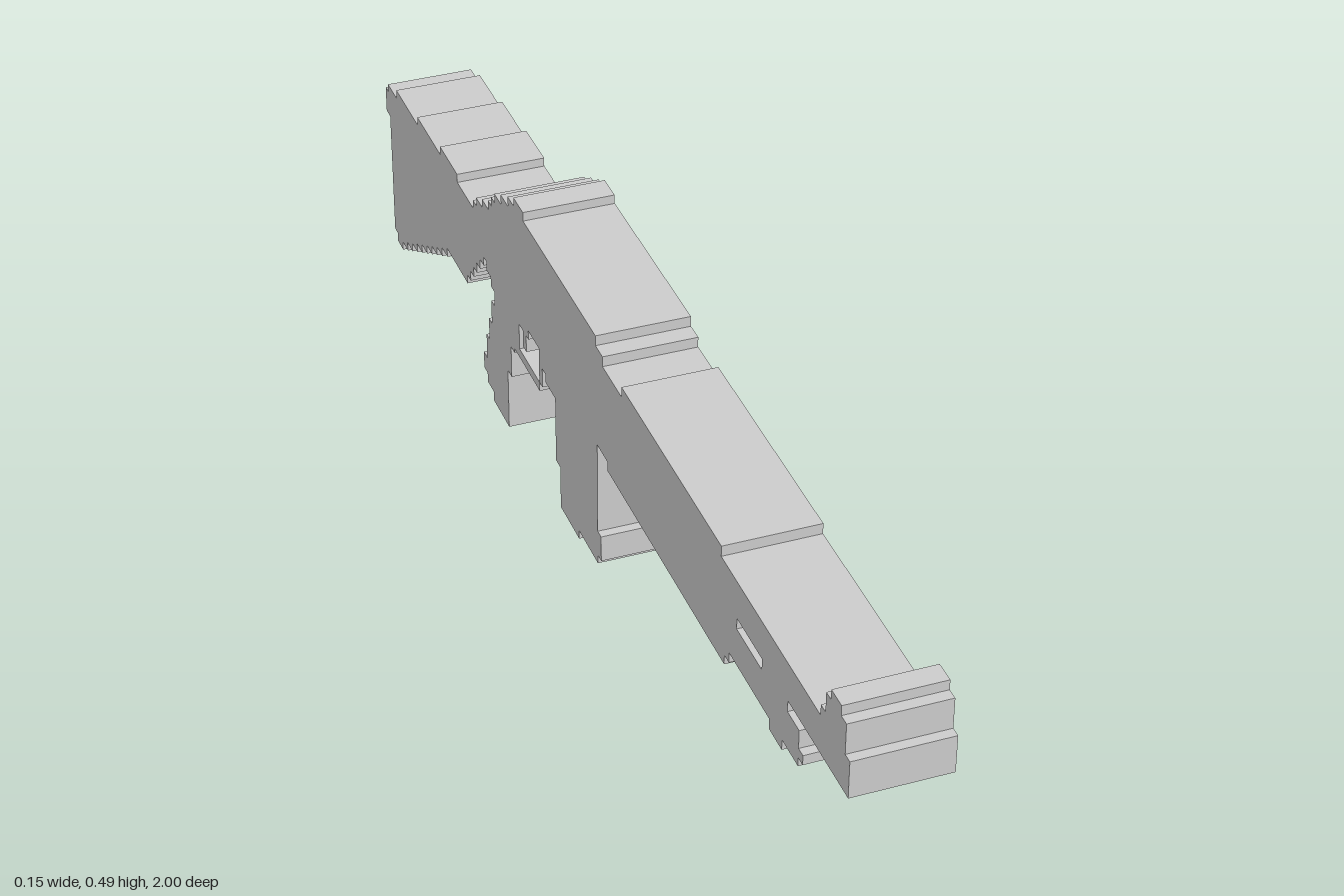
import * as THREE from 'three';

const WIDTH = 0.146;

// Closed stepped outline: each entry [z, y] runs along z first, then steps to the new y.
function steppedShape(steps) {
  const points = [];
  let y = steps[steps.length - 1][1];
  for (const [z, nextY] of steps) {
    points.push(new THREE.Vector2(z, y));
    if (nextY !== y) points.push(new THREE.Vector2(z, nextY));
    y = nextY;
  }
  return new THREE.Shape(points);
}

// Even staircase from one corner to another, in n steps.
function stairs(z0, y0, z1, y1, n) {
  return Array.from({ length: n }, (_, i) => [
    z0 + (z1 - z0) * i / (n - 1),
    y0 + (y1 - y0) * i / (n - 1),
  ]);
}

export function createModel() {
  const group = new THREE.Group();
  const material = new THREE.MeshStandardMaterial({ color: 0xcccccc, flatShading: true });

  function addPart(name, steps) {
    const geometry = new THREE.ExtrudeGeometry(steppedShape(steps), { depth: WIDTH, bevelEnabled: false });
    geometry.translate(0, 0, -WIDTH / 2);
    geometry.rotateY(-Math.PI / 2);
    const mesh = new THREE.Mesh(geometry, material);
    mesh.name = name;
    group.add(mesh);
  }

  // Barrel with the raised front sight at its tip
  addPart('barrelAndFrontSight', [
    [1, 0.423], [0.985, 0.472], [0.968, 0.488], [0.935, 0.472], [0.92, 0.44],
    [0.905, 0.423], [0.56, 0.363],
  ]);

  // Handguard under the barrel, with a slot along its top
  addPart('handguard', [
    [0.855, 0.315], [0.84, 0.345], [0.8, 0.363], [0.71, 0.345], [0.62, 0.363],
    [0.56, 0.252], [0.578, 0.268], [0.595, 0.285], [0.74, 0.268],
    [0.785, 0.285], [0.84, 0.299],
  ]);

  // Receiver, stepping down towards the stock
  addPart('receiver', [
    [0.56, 0.44], [0.17, 0.423], [0.09, 0.44], [0.06, 0.457], [-0.265, 0.472],
    [-0.31, 0.457], [-0.338, 0.44], [-0.373, 0.423], [-0.405, 0.407],
    [-0.422, 0.391], [-0.438, 0.375], [-0.47, 0.268], [-0.455, 0.252],
    [-0.25, 0.268], [0.11, 0.252],
  ]);

  // Box magazine with its well
  addPart('magazine', [
    [0.065, 0.268], [-0.185, 0.24], [-0.17, 0.225], [-0.125, 0.11],
    [-0.105, 0.035], [-0.02, 0.05], [0.065, 0.065], [0.08, 0.11],
  ]);

  // Trigger guard loop and trigger
  addPart('triggerGuard', [
    [-0.185, 0.268], [-0.2, 0.206], [-0.295, 0.252], [-0.32, 0.19], [-0.2, 0.206],
  ].map(([z, y], i) => (i === 4 ? [-0.199, y] : [z, y])));
  addPart('trigger', [[-0.261, 0.252], [-0.277, 0.222]]);

  // Pistol grip
  addPart('grip', [
    [-0.32, 0.252], [-0.435, 0.235], [-0.418, 0.208], [-0.435, 0.165],
    [-0.45, 0.125], [-0.465, 0.08], [-0.482, 0.05], [-0.465, 0.033],
    [-0.435, 0.016], [-0.357, 0.125], [-0.338, 0.182],
  ]);

  // Shoulder stock with a stair-stepped belly and butt plate
  addPart('stock', [
    [-0.47, 0.36], [-0.5, 0.345], [-0.518, 0.33], [-0.6, 0.345], [-0.69, 0.33],
    [-0.815, 0.315], [-0.935, 0.299], [-0.985, 0.285], [-1, 0.24],
    [-0.98, 0.016], [-0.965, 0],
    ...stairs(-0.935, 0.016, -0.67, 0.163, 10),
    ...stairs(-0.56, 0.179, -0.49, 0.252, 5),
  ]);

  return group;
}
